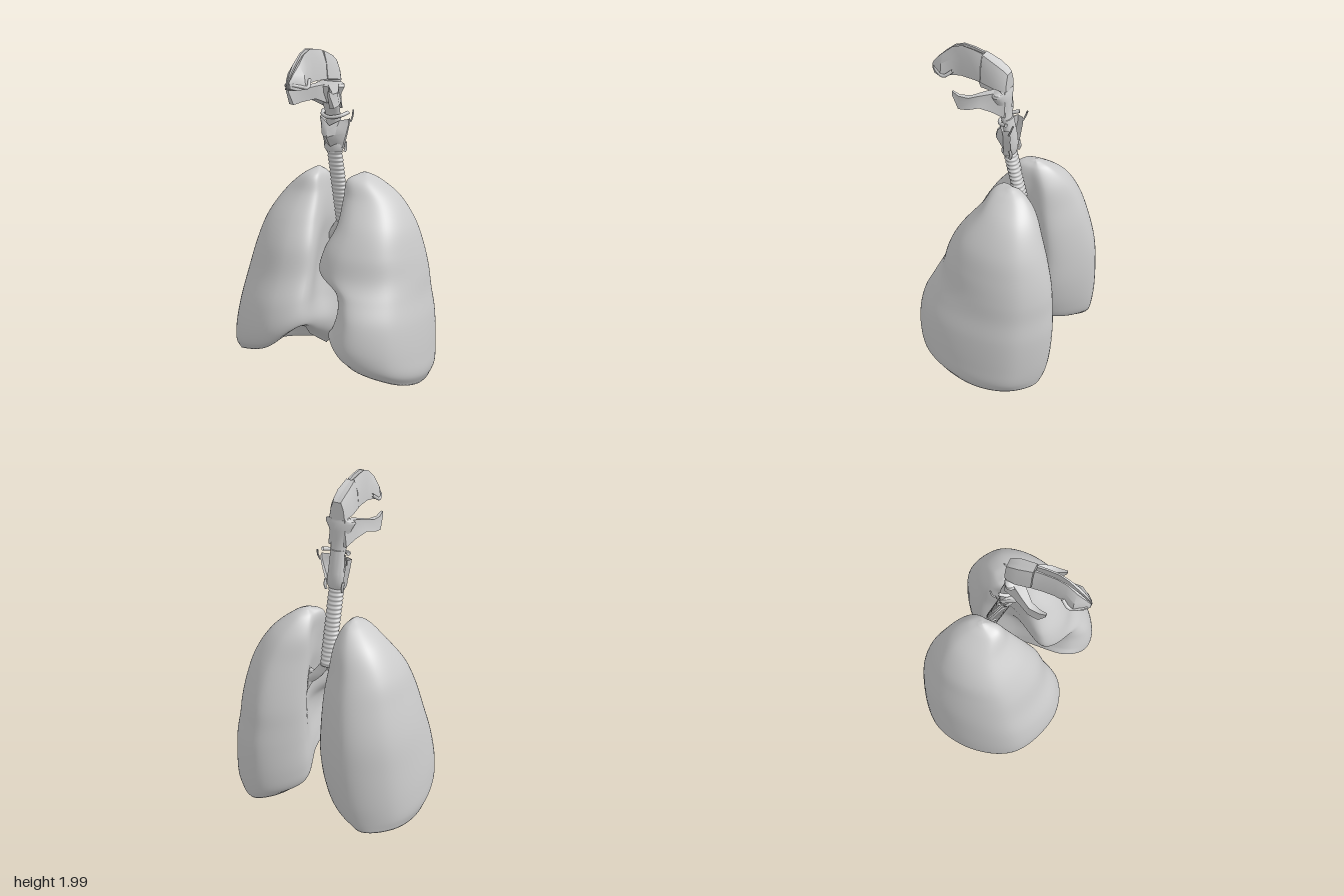
import * as THREE from 'three';
import { toCreasedNormals } from 'three/addons/utils/BufferGeometryUtils.js';

const V = (x, y, z) => new THREE.Vector3(x, y, z);
const grey = new THREE.MeshStandardMaterial({ color: 0xcccccc, side: THREE.DoubleSide });

// Skin a list of equal-length rings; caps are fans to the ring centre
function loft(rings, { closed = true, caps = false, flip = false } = {}) {
  const n = rings[0].length, pos = [], idx = [];
  const tri = (a, b, c) => (flip ? idx.push(a, c, b) : idx.push(a, b, c));
  rings.forEach(r => r.forEach(p => pos.push(p.x, p.y, p.z)));
  for (let j = 0; j < rings.length - 1; j++) {
    for (let i = 0; i < (closed ? n : n - 1); i++) {
      const a = j * n + i, b = j * n + (i + 1) % n;
      tri(a, b, a + n);
      tri(b, b + n, a + n);
    }
  }
  if (caps) {
    [0, rings.length - 1].forEach((j, end) => {
      const c = rings[j].reduce((s, p) => s.add(p), V(0, 0, 0)).divideScalar(n);
      const ci = pos.length / 3;
      pos.push(c.x, c.y, c.z);
      for (let i = 0; i < n; i++) {
        const a = j * n + i, b = j * n + (i + 1) % n;
        end ? tri(a, b, ci) : tri(b, a, ci);
      }
    });
  }
  const g = new THREE.BufferGeometry();
  g.setAttribute('position', new THREE.Float32BufferAttribute(pos, 3));
  g.setIndex(idx);
  g.computeVertexNormals();
  return g;
}

// Lung rows: y, outer x, front margin x, hilum x, back margin x, front z, back z
const rightRows = [
  [1.235, .18, .15, .15, .15, -.09, -.13], [1.2, .24, .12, .115, .12, 0, -.2],
  [1.1, .36, .1, .09, .09, .06, -.29], [.95, .46, .07, .08, .07, .17, -.36],
  [.8, .51, .04, .1, .05, .25, -.41], [.6, .56, .03, .12, .04, .31, -.45],
  [.4, .59, .02, .1, .03, .38, -.46], [.2, .61, .02, .07, .05, .41, -.45],
  [.08, .61, .03, .1, .09, .4, -.43], [.02, .59, .06, .16, .18, .37, -.41]];
const leftRows = [
  [1.235, .18, .14, .14, .14, -.09, -.13], [1.2, .24, .09, .1, .11, 0, -.2],
  [1.1, .36, .09, .1, .09, .06, -.29], [.95, .46, .1, .11, .09, .17, -.36],
  [.8, .51, .05, .14, .09, .25, -.41], [.66, .54, .04, .15, .09, .29, -.44],
  [.54, .56, .17, .17, .09, .33, -.45], [.4, .59, .21, .17, .09, .38, -.46],
  [.2, .61, .19, .15, .09, .41, -.45], [.08, .61, .16, .15, .11, .4, -.43],
  [.02, .58, .2, .2, .18, .37, -.41]];
// Extra height of the lower rim at each of the eight columns
const rightRim = [.01, .11, .21, .35, .18, .05, 0, 0];
const leftRim = [0, .09, .2, .33, .2, .05, 0, 0];

function lungGeometry(rows, rim, side) {
  const mix = THREE.MathUtils.lerp;
  const columns = rim.map(() => []);
  for (const [y, xo, xf, xh, xb, zf, zb] of rows) {
    const c = (zf + zb) / 2, h = (zf - zb) / 2;
    const section = [
      [xo, c - .02 * h], [mix(xf, xo, .84), c + .7 * h], [mix(xf, xo, .32), c + h],
      [xf, c + .78 * h], [xh, c], [xb, c - .55 * h],
      [mix(xb, xo, .45), c - h], [mix(xb, xo, .87), c - .7 * h]];
    section.forEach(([x, z], i) => {
      columns[i].push(V(side * x, y + rim[i] * (1 - y / 1.235) ** 3, z));
    });
  }
  const curves = columns.map(p => new THREE.CatmullRomCurve3(p));
  const rings = [], M = 64, N = 80;
  for (let j = 0; j <= M; j++) {
    const loop = new THREE.CatmullRomCurve3(curves.map(c => c.getPoint(j / M)), true);
    rings.push(Array.from({ length: N }, (_, i) => loop.getPoint(i / N)));
  }
  // Apex point
  const mean = r => r.reduce((s, p) => s.add(p), V(0, 0, 0)).divideScalar(N);
  const apex = mean(rings[0]);
  rings.unshift(rings[0].map(p => p.clone().lerp(apex, .98).add(V(0, .004, 0))));
  // Rounded rim, then the hollow domed base
  const edge = rings[rings.length - 1], centre = mean(edge);
  for (const k of [.985, .95, .9, .8, .65, .5, .35, .2, .02]) {
    rings.push(edge.map(p => {
      const q = centre.clone().lerp(p, k);
      const lift = k > .98 ? 0 : Math.sin((1 - k) * Math.PI / 2);
      q.y = mix(p.y, .36, lift) - (k > .9 ? .008 : 0);
      return q;
    }));
  }
  return loft(rings, { flip: side < 0 });
}

// Mirrored half parts lofted along z; rows: z, inner x, outer x, bottom y, top y
function halfRings(rows, side, peak) {
  return rows.map(([z, a, b, lo, hi]) => {
    const w = b - a, h = hi - lo;
    return [[a, lo], [b, lo + .04 * h], [a + w * .82, lo + h * .6], [a + w * peak, hi], [a, hi - .02 * h]]
      .map(([x, y]) => V(side * x, y, z));
  });
}

// Horizontal oval rings; rows: y, centre z, half width, half depth
function ovalRings(rows, n = 28) {
  return rows.map(([y, z, w, d]) => Array.from({ length: n }, (_, i) => {
    const a = i / n * Math.PI * 2;
    return V(w * Math.cos(a), y, z + d * Math.sin(a));
  }));
}

export function createModel() {
  const model = new THREE.Group();
  const add = (name, geo, parent = model) => {
    const m = new THREE.Mesh(geo, grey);
    m.name = name;
    parent.add(m);
    return m;
  };
  const creased = g => toCreasedNormals(g, .7);
  const tube = (pts, r, seg = 24) => new THREE.TubeGeometry(
    new THREE.CatmullRomCurve3(pts.map(p => V(...p))), seg, r, 14);

  // Lungs
  add('rightLung', lungGeometry(rightRows, rightRim, -1));
  add('leftLung', lungGeometry(leftRows, leftRim, 1));

  // Windpipe with ridged cartilage rings
  const windpipe = [];
  for (let j = 0; j <= 152; j++) {
    const t = j / 152, bump = 1 + .07 * Math.sin(t * 19 * Math.PI * 2);
    windpipe.push([1.39 - t * .48, -.02 - .11 * t, .046 * bump, .037 * bump]);
  }
  add('windpipe', loft(ovalRings(windpipe), { caps: true }));

  // Bronchi and their branches
  for (const s of [-1, 1]) {
    const side = s < 0 ? 'right' : 'left';
    add(side + 'Bronchus', tube([[0, .94, -.125], [s * .03, .89, -.13], [s * .08, .825, -.14], [s * .18, .75, -.14]], .028));
    add(side + 'UpperBranch', tube([[s * .07, .84, -.14], [s * .12, .84, -.13], [s * .2, .88, -.11]], .017));
    add(side + 'LowerBranch', tube([[s * .1, .81, -.14], [s * .14, .72, -.17], [s * .2, .6, -.2]], .017));
  }

  // Voice box: ring cartilage, shield plates, horns and the bone above
  add('ringCartilage', creased(loft(ovalRings([
    [1.365, -.02, .05, .038], [1.385, -.02, .062, .044], [1.42, -.025, .06, .042],
    [1.47, -.03, .05, .035], [1.6, -.01, .045, .028]]), { caps: true })));
  const shield = [[1.39, .062, .012, -.05], [1.42, .068, .035, -.055], [1.48, .084, .07, -.06],
    [1.53, .095, .058, -.065], [1.565, .1, .035, -.062]];
  add('shieldCartilage', creased(loft(shield.map(([y, w, zf, zb], j) => [
    V(-w * .85, y, zb), V(-w, y, zb + .04), V(-w * .55, y - j * .002, zf - .025), V(0, y - j * .01, zf),
    V(w * .55, y - j * .002, zf - .025), V(w, y, zb + .04), V(w * .85, y, zb)]), { closed: false })));
  for (const s of [-1, 1]) {
    add('upperHorn', tube([[s * .088, 1.54, -.06], [s * .094, 1.575, -.075], [s * .09, 1.61, -.088]], .005, 8));
    add('lowerHorn', tube([[s * .06, 1.42, -.05], [s * .058, 1.385, -.058], [s * .055, 1.36, -.05]], .008, 8));
  }
  add('tongueBone', tube([[-.085, 1.6, -.04], [-.06, 1.585, .01], [0, 1.575, .035], [.06, 1.585, .01], [.085, 1.6, -.04]], .011));

  // Throat, joined up to the nasal passage along its back wall
  add('throat', creased(loft(ovalRings([
    [1.57, -.01, .045, .028], [1.61, 0, .05, .027], [1.67, .015, .056, .042], [1.72, .022, .07, .05],
    [1.76, .025, .095, .05], [1.775, .02, .09, .04], [1.785, .002, .06, .02], [1.82, .002, .05, .02]]), { caps: true })));

  const mouthRows = [[-.015, 0, .06, 1.62, 1.785], [.05, 0, .09, 1.66, 1.775], [.11, .045, .125, 1.69, 1.765],
    [.17, .1, .15, 1.675, 1.75], [.23, .12, .15, 1.665, 1.75], [.27, .13, .145, 1.745, 1.77]];
  const noseRows = [[.47, .003, .012, 1.8, 1.835], [.44, .004, .04, 1.785, 1.875], [.39, .005, .066, 1.787, 1.925],
    [.33, .008, .042, 1.8, 1.977], [.27, .011, .04, 1.81, 2], [.2, .011, .045, 1.81, 1.993], [.142, .008, .053, 1.81, 1.98]];
  const backRows = [[.138, 0, .055, 1.81, 1.978], [.05, 0, .068, 1.8, 1.94], [0, 0, .06, 1.79, 1.91], [-.02, 0, .05, 1.785, 1.89]];
  for (const s of [-1, 1]) {
    const side = s < 0 ? 'right' : 'left';
    const half = (name, rows, peak) => add(side + name, creased(loft(halfRings(rows, s, peak), { caps: true, flip: s < 0 })));
    half('MouthWall', mouthRows, .8);
    half('NasalPassage', noseRows, .25);
    half('NasalBack', backRows, .5);
    // Nostril fold
    add(side + 'NostrilFold', tube([[s * .015, 1.82, .455], [s * .045, 1.81, .42], [s * .064, 1.8, .37], [s * .045, 1.835, .32]], .01, 16));
  }
  return model;
}
